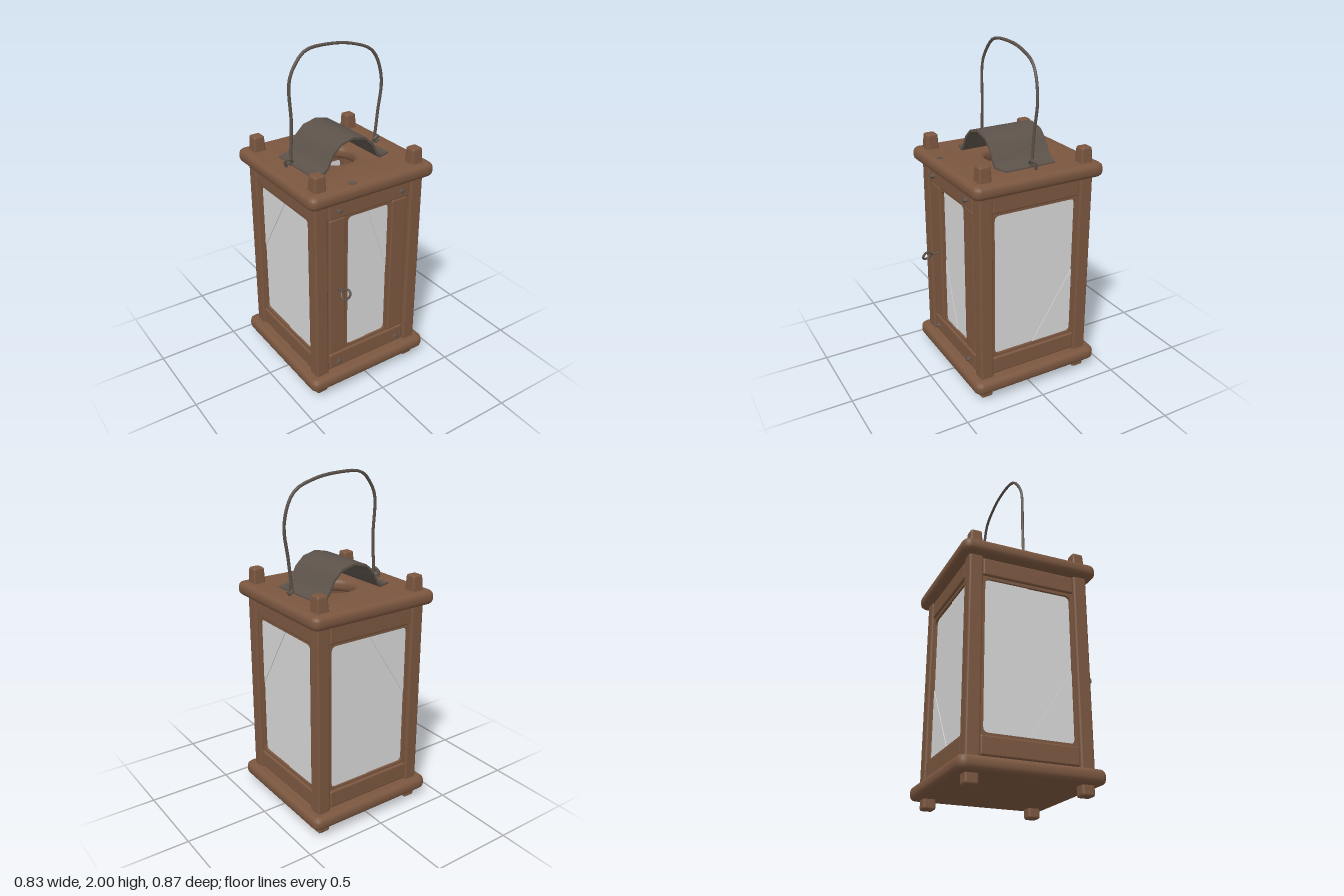
import * as THREE from 'three';
import { toCreasedNormals } from 'three/addons/utils/BufferGeometryUtils.js';
import { RoundedBoxGeometry } from 'three/addons/geometries/RoundedBoxGeometry.js';

const mat = (name, color) => {
  const m = new THREE.MeshStandardMaterial({ color });
  m.name = name;
  return m;
};

export function createModel() {
  const wood = mat('brown wood', 0x7a563f);
  const glass = mat('pale glass', 0xd6d6d6);
  const metal = mat('dark metal', 0x5c524a);

  const lantern = new THREE.Group();
  lantern.name = 'lantern';
  const body = new THREE.Group();
  body.name = 'body';
  body.position.z = -0.025;
  lantern.add(body);

  const add = (parent, name, geo, material, x = 0, y = 0, z = 0) => {
    const m = new THREE.Mesh(geo, material);
    m.name = name;
    m.position.set(x, y, z);
    parent.add(m);
    return m;
  };
  const beam = (w, h, d, r = 0.01) => new RoundedBoxGeometry(w, h, d, 2, r);

  // Rounded rectangle centred on the origin, as a Shape or a hole Path
  const roundRect = (p, w, h, r) => {
    const x = w / 2, y = h / 2;
    p.moveTo(-x + r, -y);
    p.lineTo(x - r, -y);
    p.quadraticCurveTo(x, -y, x, -y + r);
    p.lineTo(x, y - r);
    p.quadraticCurveTo(x, y, x - r, y);
    p.lineTo(-x + r, y);
    p.quadraticCurveTo(-x, y, -x, y - r);
    p.lineTo(-x, -y + r);
    p.quadraticCurveTo(-x, -y, -x + r, -y);
    return p;
  };

  // Base and roof boards; the roof has a round smoke hole
  const board = (name, y, holeRadius) => {
    const shape = roundRect(new THREE.Shape(), 0.766, 0.76, 0.02);
    if (holeRadius) {
      shape.holes.push(new THREE.Path().absarc(0, 0, holeRadius, 0, Math.PI * 2, true));
    }
    const geo = new THREE.ExtrudeGeometry(shape, {
      depth: 0.023, bevelThickness: 0.028, bevelSize: 0.03, bevelSegments: 3, curveSegments: 10,
    });
    geo.rotateX(-Math.PI / 2).translate(0, 0.028, 0);
    add(body, name, toCreasedNormals(geo, 0.7), wood, 0, y, 0);
  };
  board('baseBoard', 0.063, 0);
  board('roofBoard', 1.272, 0.15);

  // Corner posts with pegs above the roof and feet below the base
  for (const sx of [-1, 1]) {
    for (const sz of [-1, 1]) {
      const x = sx * 0.322, z = sz * 0.32;
      add(body, 'cornerPost', beam(0.082, 1.2, 0.082, 0.012), wood, x, 0.71, z);
      const peg = beam(0.08, 0.13, 0.08, 0.014);
      const p = peg.attributes.position;
      for (let i = 0; i < p.count; i++) {
        const s = p.getY(i) > 0 ? 0.85 : 1;
        p.setX(i, p.getX(i) * s);
        p.setZ(i, p.getZ(i) * s);
      }
      peg.computeVertexNormals();
      add(body, 'topPeg', peg, wood, x, 1.375, z);
      add(body, 'foot', beam(0.075, 0.12, 0.075, 0.014), wood, x, 0.065, z);
    }
  }

  // One wall: frame with a rounded opening, rails and a creased pane
  const MID = 0.71, GH = 0.87;
  const wall = (name, angle, offset, glassW, flip, isDoor) => {
    const g = new THREE.Group();
    g.name = name;
    g.rotation.y = angle;
    body.add(g);
    const frame = roundRect(new THREE.Shape(), 0.565, 1.13, 0.004);
    frame.holes.push(roundRect(new THREE.Path(), glassW, GH, 0.03));
    const frameGeo = new THREE.ExtrudeGeometry(frame, { depth: 0.035, bevelEnabled: false, curveSegments: 4 });
    add(g, 'frame', frameGeo, wood, 0, MID, offset - 0.035);
    const railW = isDoor ? 0.54 : 0.555;
    add(g, 'bottomRail', beam(railW, 0.105, 0.04), wood, 0, 0.207, offset - 0.006);
    add(g, 'topRail', beam(railW, 0.105, 0.04), wood, 0, 1.215, offset - 0.006);
    if (isDoor) {
      for (const s of [-1, 1]) {
        add(g, 'doorStile', beam(0.108, 0.9, 0.03), wood, s * 0.212, MID, offset - 0.007);
      }
    }
    add(g, 'pane', new THREE.BoxGeometry(glassW + 0.01, GH + 0.01, 0.008), glass, 0, MID, offset - 0.019);
    // Raised triangular corners of the pane
    const w = glassW / 2, h = GH / 2, f = flip ? -1 : 1;
    for (const s of [-1, 1]) {
      const tri = new THREE.Shape([
        new THREE.Vector2(0, s * h),
        new THREE.Vector2(f * s * w, s * h),
        new THREE.Vector2(f * s * w, s * 0.02),
      ]);
      const geo = new THREE.ExtrudeGeometry(tri, { depth: 0.005, bevelEnabled: false });
      add(g, 'paneCorner', geo, glass, 0, MID, offset - 0.016);
    }
    return g;
  };
  const door = wall('door', 0, 0.343, 0.28, false, true);
  wall('backWall', Math.PI, 0.343, 0.524, false, false);
  wall('leftWall', Math.PI / 2, 0.343, 0.52, true, false);
  wall('rightWall', -Math.PI / 2, 0.343, 0.52, true, false);

  // Door nails
  for (const x of [-0.21, 0.21]) {
    for (const y of [0.203, 1.215]) {
      const nail = add(door, 'nail', new THREE.BoxGeometry(0.02, 0.02, 0.025), metal, x, y, 0.368);
      nail.rotation.z = Math.PI / 4;
    }
  }

  // Door pull: a bent wire loop on a short stem
  const wire = (pts, r, closed, segs) => new THREE.TubeGeometry(
    new THREE.CatmullRomCurve3(pts.map((p) => new THREE.Vector3(...p)), closed), segs, r, 6, closed);
  add(lantern, 'doorPull', wire([
    [-0.205, 0.715, 0.31], [-0.21, 0.715, 0.365], [-0.2, 0.738, 0.39], [-0.193, 0.74, 0.412],
    [-0.2, 0.715, 0.428], [-0.222, 0.685, 0.408], [-0.225, 0.688, 0.385], [-0.212, 0.712, 0.365],
  ], 0.007, false, 28), metal);

  // Small metal spot on the roof
  const spot = add(lantern, 'roofSpot', new THREE.CylinderGeometry(0.024, 0.024, 0.004, 8), metal, -0.122, 1.352, 0.332);
  spot.scale.z = 0.75;

  // Bent sheet hood with flared, clipped feet
  const bend = [[-0.2, 1.362], [-0.175, 1.385], [-0.14, 1.452], [-0.085, 1.502], [0, 1.522]];
  const top = [...bend, ...bend.slice(0, -1).reverse().map(([x, y]) => [-x, y])];
  const outline = [[-0.272, 1.358], ...top, [0.272, 1.358]];
  const under = outline.map(([x, y]) => [x * (Math.abs(x) < 0.21 ? 0.95 : 1), y - 0.012]).reverse();
  const hoodShape = new THREE.Shape([...outline, ...under].map(([x, y]) => new THREE.Vector2(x, y)));
  const hoodGeo = new THREE.ExtrudeGeometry(hoodShape, { depth: 0.366, bevelEnabled: false });
  hoodGeo.translate(0, 0, -0.183);
  const hp = hoodGeo.attributes.position;
  for (let i = 0; i < hp.count; i++) {
    if (Math.abs(hp.getX(i)) > 0.25) hp.setZ(i, hp.getZ(i) * 0.86);
  }
  const hood = add(lantern, 'smokeHood', toCreasedNormals(hoodGeo, 0.75), metal, 0, 0, -0.026);
  hood.rotation.y = 0.03;

  // Wire carrying handle with twisted ends
  add(lantern, 'handle', wire([
    [-0.288, 1.36, -0.028], [-0.275, 1.6, -0.026], [-0.278, 1.83, -0.032], [-0.24, 1.91, -0.038],
    [-0.17, 1.978, -0.044], [-0.02, 1.991, -0.05], [0.14, 1.97, -0.045], [0.27, 1.91, -0.038],
    [0.328, 1.75, -0.03], [0.305, 1.55, -0.026], [0.285, 1.36, -0.028],
  ], 0.009, false, 44), metal);
  for (const s of [-1, 1]) {
    add(lantern, 'handleEye', wire([
      [s * 0.305, 1.34, -0.04], [s * 0.315, 1.385, -0.035], [s * 0.3, 1.405, -0.015],
      [s * 0.28, 1.385, -0.02], [s * 0.3, 1.37, -0.045], [s * 0.325, 1.375, -0.028],
    ], 0.009, false, 16), metal);
  }

  return lantern;
}
